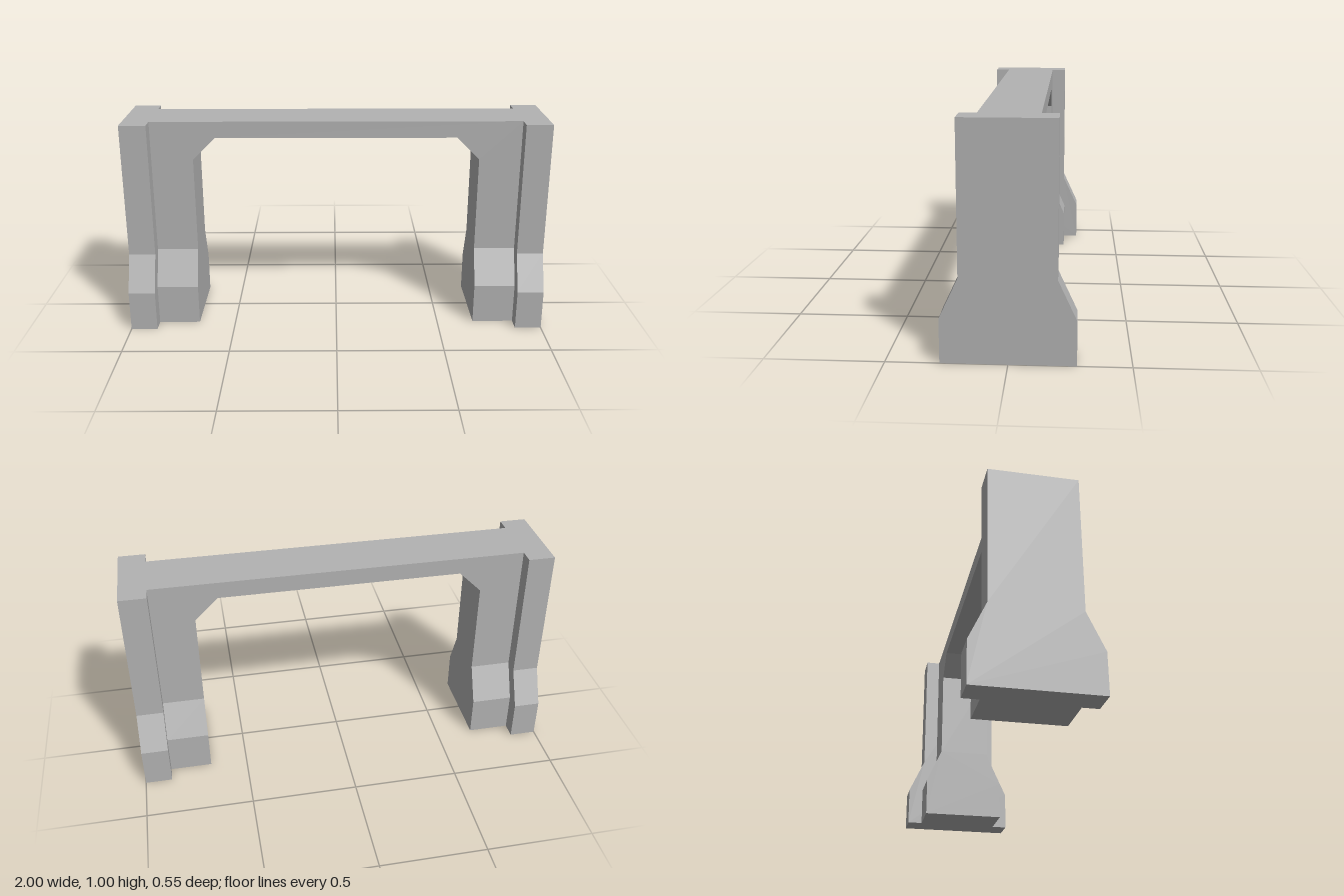
import * as THREE from 'three';

const concrete = new THREE.MeshStandardMaterial({ color: 0xb2b2b2 });
concrete.name = 'concrete grey';

const SLOPE_LOW = 0.19, SLOPE_HIGH = 0.36; // flare of the footings
const X_OUT = 1, X_STEP = 0.874, X_IN = 0.677; // pier edges

function extrude(points, depth) {
  const shape = new THREE.Shape(points.map(([x, y]) => new THREE.Vector2(x, y)));
  return new THREE.ExtrudeGeometry(shape, { depth, bevelEnabled: false });
}

// Symmetric z/y profile, wide at the foot, swept along x from x0 to x1
function flaredPier(name, x0, x1, top, halfTop, halfFoot) {
  const side = [[halfFoot, 0], [halfFoot, SLOPE_LOW], [halfTop, SLOPE_HIGH]];
  if (top > SLOPE_HIGH) side.push([halfTop, top]);
  const mirrored = side.map(([z, y]) => [-z, y]).reverse();
  const geometry = extrude([...side, ...mirrored], x1 - x0);
  geometry.rotateY(Math.PI / 2).translate(x0, 0, 0);
  const mesh = new THREE.Mesh(geometry, concrete);
  mesh.name = name;
  return mesh;
}

export function createModel() {
  const model = new THREE.Group();
  model.name = 'portalBridge';

  // Deck, chamfered haunches and upper legs as one portal outline
  const half = [[X_STEP, 1], [X_STEP, SLOPE_HIGH], [X_IN, SLOPE_HIGH], [X_IN, 0.815], [0.569, 0.921]];
  const outline = [...half, ...half.map(([x, y]) => [-x, y]).reverse()];
  const depth = 0.254;
  const portal = new THREE.Mesh(extrude(outline, depth).translate(0, 0, -depth / 2), concrete);
  portal.name = 'portalFrame';
  model.add(portal);

  // Outer buttress and inner footing at each end
  for (const [label, s] of [['left', 1], ['right', -1]]) {
    const span = (a, b) => (s > 0 ? [a, b] : [-b, -a]);
    model.add(
      flaredPier(label + 'Buttress', ...span(X_STEP, X_OUT), 1, 0.198, 0.277),
      flaredPier(label + 'InnerFooting', ...span(X_IN, X_STEP), SLOPE_HIGH, depth / 2, 0.203),
    );
  }
  return model;
}
